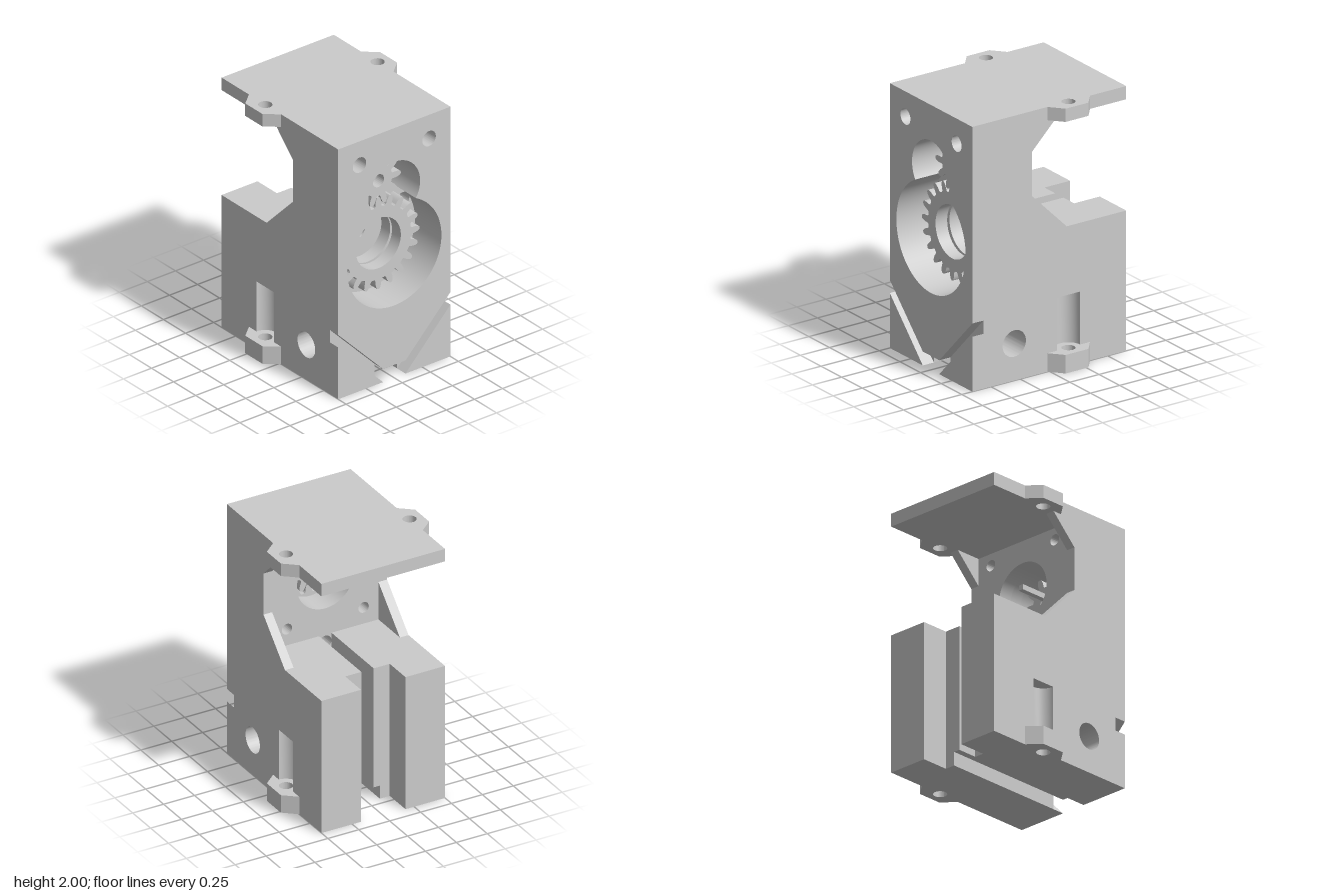
import * as THREE from 'three';
import { toCreasedNormals } from 'three/addons/utils/BufferGeometryUtils.js';

const material = new THREE.MeshStandardMaterial({ color: 0xcccccc });

const polygon = (pts) => new THREE.Shape(pts.map(([x, y]) => new THREE.Vector2(x, y)));
const rect = (x0, y0, x1, y1) => polygon([[x0, y0], [x1, y0], [x1, y1], [x0, y1]]);
const drill = (shape, x, y, r) => {
  shape.holes.push(new THREE.Path().absarc(x, y, r, 0, Math.PI * 2, false));
  return shape;
};

export function createModel() {
  const group = new THREE.Group();

  // Extrude a shape between two positions along z, x or y.
  // For x the shape is drawn in (-z, y); for y it is drawn in (x, -z).
  function extrude(name, shape, from, to, axis = 'z') {
    let geo = new THREE.ExtrudeGeometry(shape, { depth: to - from, bevelEnabled: false, curveSegments: 40 });
    geo.translate(0, 0, from);
    if (axis === 'x') geo.rotateY(Math.PI / 2);
    if (axis === 'y') geo.rotateX(-Math.PI / 2);
    geo = toCreasedNormals(geo, 0.5);
    const mesh = new THREE.Mesh(geo, material);
    mesh.name = name;
    group.add(mesh);
    return mesh;
  }

  // Gear housing: front layer with the two merged gear pockets
  const wall = () => rect(-0.5, 0.54, 0.5, 2);
  const screws = [[-0.31, 1.81], [0.31, 1.81], [-0.31, 1.19], [0.31, 1.19]];
  const big = Math.atan2(0.3735, 0.192), small = Math.atan2(-0.1265, 0.192);
  const front = wall();
  front.holes.push(new THREE.Path()
    .absarc(0, 1, 0.42, Math.PI - big, Math.PI * 2 + big, false)
    .absarc(0, 1.5, 0.23, small, Math.PI - small, false));
  screws.slice(0, 2).forEach(([x, y]) => drill(front, x, y, 0.06));
  extrude('gearHousing', front, 0.36, 0.66);

  // Bearing seat layer, then the motor plate behind it
  const seat = drill(drill(wall(), 0, 1, 0.2), 0, 1.5, 0.23);
  screws.forEach(([x, y]) => drill(seat, x, y, 0.06));
  extrude('bearingSeat', seat, 0.26, 0.36);
  const plate = drill(drill(wall(), 0, 1, 0.05), 0, 1.5, 0.23);
  screws.forEach(([x, y]) => drill(plate, x, y, 0.042));
  extrude('motorPlate', plate, 0.15, 0.26);

  // Lower front: face with diagonal grooves, cross-drilled base
  extrude('lowerFace', polygon([[-0.5, 0.515], [-0.1, 0.105], [0.1, 0.105], [0.5, 0.515],
    [0.5, 0.54], [-0.5, 0.54]]), 0.565, 0.66);
  for (const s of [-1, 1]) {
    extrude('lowerCorner', polygon([[s * 0.1, 0], [s * 0.5, 0], [s * 0.5, 0.415]]), 0.565, 0.66);
  }
  for (const [x0, x1, y0] of [[-0.5, -0.1, 0], [-0.1, 0.1, 0.105], [0.1, 0.5, 0]]) {
    extrude('crossDrilledBase', drill(rect(-0.565, y0, -0.15, 0.54), -0.3, 0.28, 0.1), x0, x1, 'x');
  }

  // Rear pillars, stacked in layers around the vertical guide slot
  const C = 0.165; // -z of the ear bolts
  const ear = (s) => [[s * 0.5, -0.015], [s * 0.6, 0.07], [s * 0.6, 0.265], [s * 0.5, 0.35]];
  function pillar(s, inner, kind) {
    const shape = new THREE.Shape();
    shape.moveTo(s * inner, -0.15);
    shape.lineTo(s * 0.5, -0.15);
    if (kind === 'ear') ear(s).forEach(([x, y]) => shape.lineTo(x, y));
    if (kind === 'recess') {
      for (let i = 0; i <= 20; i++) {
        const a = -Math.PI / 2 + Math.PI * i / 20;
        shape.lineTo(s * (0.5 - 0.1 * Math.cos(a)), C + 0.1 * Math.sin(a));
      }
    }
    [[0.5, 0.66], [0.18, 0.66], [0.18, 0.44], [inner, 0.44]].forEach(([x, y]) => shape.lineTo(s * x, y));
    if (kind === 'ear') drill(shape, s * 0.5, C, 0.05);
    return shape;
  }
  for (const s of [-1, 1]) {
    extrude('pillarFoot', pillar(s, 0.1, 'ear'), 0, 0.105, 'y');
    extrude('pillarEar', pillar(s, 0.05, 'ear'), 0.105, 0.14, 'y');
    extrude('pillarRecess', pillar(s, 0.05, 'recess'), 0.14, 0.54, 'y');
    extrude('pillarTop', pillar(s, 0.05, 'plain'), 0.54, 1.06, 'y');

    // Gussets bracing the motor plate
    const x0 = s > 0 ? 0.43 : -0.5;
    extrude('lowerGusset', polygon([[-0.15, 1.06], [0.15, 1.06], [-0.15, 1.36]]), x0, x0 + 0.07, 'x');
    extrude('upperGusset', polygon([[-0.15, 1.69], [0.06, 1.9], [-0.15, 1.9]]), x0, x0 + 0.07, 'x');
  }

  // Top plate with a bolt ear on each side
  const top = polygon([[-0.5, -0.15], [0.5, -0.15], ...ear(1), [0.5, 0.66], [-0.5, 0.66], ...ear(-1).reverse()]);
  for (const s of [-1, 1]) drill(top, s * 0.5, C, 0.05);
  extrude('topPlate', top, 1.9, 2, 'y');

  // Spur gears
  function gear(name, y, teeth, root, tip, bore) {
    const pitch = Math.PI * 2 / teeth, h = tip - root;
    const flank = [[0, 0.36], [0.12, 0.28], [0.5, 0.24], [0.8, 0.17], [0.96, 0.1], [1, 0.04]];
    const tooth = [...flank.map(([r, a]) => [r, -a]), ...flank.slice().reverse()];
    const pts = [];
    for (let i = 0; i < teeth; i++) {
      for (const [r, a] of tooth) {
        const t = (i + a) * pitch, R = root + r * h;
        pts.push([R * Math.cos(t), y + R * Math.sin(t)]);
      }
    }
    extrude(name, drill(polygon(pts), 0, y, bore), 0.38, 0.48);
  }
  gear('driveGear', 1.5, 10, 0.122, 0.2, 0.05);
  gear('drivenGear', 1, 20, 0.29, 0.367, 0.2);

  // Key in the drive gear bore
  extrude('shaftKey', rect(-0.02, 1.515, 0.02, 1.555), 0.13, 0.43);

  return group;
}
